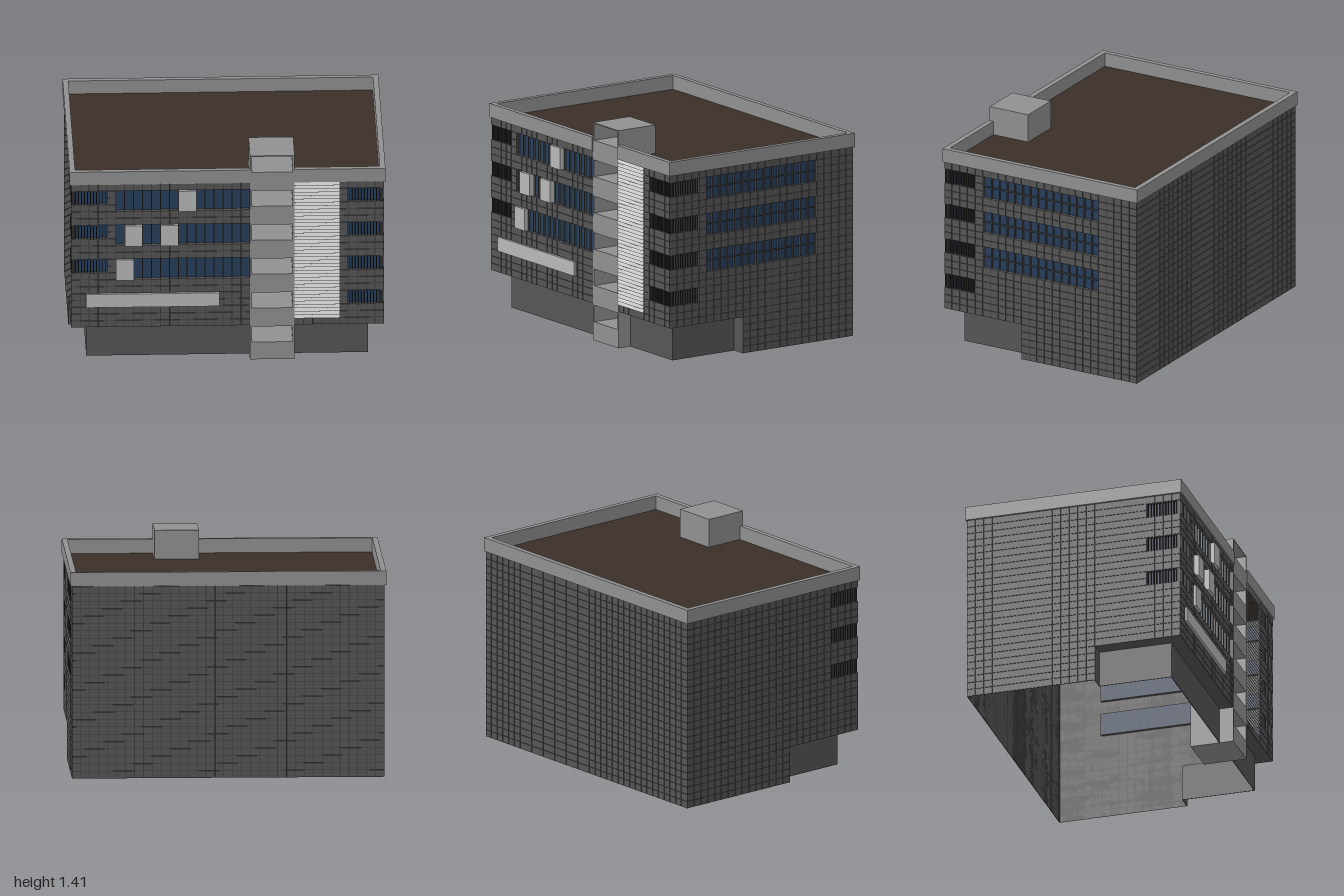
import * as THREE from 'three';
import { mergeGeometries } from 'three/addons/utils/BufferGeometryUtils.js';

const P = 0.0566, R = 1.23 / 26;            // cladding pitch: column and row
const W = 35 * P, D = 25 * P;               // wall lengths
const X = W / 2, ZF = 0.7, ZB = ZF - D;     // building outline
const BASE = 5 * R, TOP = 26 * R;
const CUT = ZF - 10 * P;                    // recessed base ends here
const T0 = -X + 20 * P, T1 = -X + 25 * P;   // stair tower sides
const DEEP = 0.025;                         // window recess

const mat = (color) => new THREE.MeshStandardMaterial({ color, side: THREE.DoubleSide, flatShading: true });
const mats = {
  wall: mat(0x555555), joint: mat(0x3a3a3a), glass: mat(0x263e5a), frame: mat(0x4c4c4c),
  fin: mat(0x2c2c2c), trim: mat(0x909090), panel: mat(0xb8b8b8), louver: mat(0xcccccc), roof: mat(0x3b3028),
};

// Box given by its lower and upper corners
function box(x0, y0, z0, x1, y1, z1) {
  return new THREE.BoxGeometry(x1 - x0, y1 - y0, z1 - z0).translate((x0 + x1) / 2, (y0 + y1) / 2, (z0 + z1) / 2);
}
function plane(x0, y0, x1, y1, z) {
  return new THREE.PlaneGeometry(x1 - x0, y1 - y0).translate((x0 + x1) / 2, (y0 + y1) / 2, z);
}
function add(parent, name, geometries, material) {
  const mesh = new THREE.Mesh(mergeGeometries(geometries), mats[material]);
  mesh.name = name;
  parent.add(mesh);
}

// Wall in its own frame: x along the wall, y up, z outward.
// Openings are { c, r, w, h } in cells; corner = 1 or -1 marks a window turning the corner.
function wall(name, cols, present, openings, crossbar) {
  const g = new THREE.Group();
  g.name = name;
  const tiles = [], joints = [], glass = [], frames = [], fins = [], reveals = [];
  for (let c = 0; c < cols; c++) for (let r = 0; r < 26; r++) {
    if (!present(c, r)) continue;
    if (openings.some((o) => c >= o.c && c < o.c + o.w && r >= o.r && r < o.r + o.h)) continue;
    const x = c * P, y = r * R, m = 0.002;
    tiles.push(box(x + m, y + m, -0.005, x + P - m, y + R - m, 0));
    joints.push(plane(x, y, x + P, y + R, -0.005));
  }
  for (const o of openings) {
    let x0 = o.c * P, x1 = (o.c + o.w) * P;
    const y0 = o.r * R, y1 = (o.r + o.h) * R;
    reveals.push(box(x0, y0 - 0.003, -DEEP, x1, y0, -0.001), box(x0, y1, -DEEP, x1, y1 + 0.003, -0.001));
    if (o.corner !== -1) reveals.push(box(x0 - 0.003, y0, -DEEP, x0, y1, -0.001));
    if (o.corner !== 1) reveals.push(box(x1, y0, -DEEP, x1 + 0.003, y1, -0.001));
    if (o.corner) {
      // close-set upright fins in front of the glass
      const n = o.w * 3;
      for (let i = 0; i < n; i++) {
        const x = x0 + (i + 0.5) * (x1 - x0) / n;
        fins.push(box(x - 0.002, y0, -DEEP, x + 0.002, y1, -0.002));
      }
      if (o.corner === -1) x0 += DEEP; else x1 -= DEEP;
    } else {
      for (let i = 0; i <= o.w; i++) {
        const x = x0 + i * P;
        frames.push(box(x - 0.003, y0, -DEEP, x + 0.003, y1, -0.012));
      }
      if (crossbar) frames.push(box(x0, (y0 + y1) / 2 - 0.003, -DEEP, x1, (y0 + y1) / 2 + 0.003, -0.012));
    }
    glass.push(plane(x0, y0, x1, y1, -DEEP));
  }
  add(g, 'claddingTiles', tiles, 'wall');
  add(g, 'claddingJoints', joints, 'joint');
  if (glass.length) add(g, 'windowGlass', glass, 'glass');
  if (reveals.length) add(g, 'windowReveals', reveals, 'wall');
  if (frames.length) add(g, 'windowMullions', frames, 'frame');
  if (fins.length) add(g, 'windowFins', fins, 'fin');
  return g;
}

export function createModel() {
  const model = new THREE.Group();
  model.name = 'officeBuilding';
  const place = (g, x, z, turn) => {
    g.position.set(x, 0, z);
    g.rotation.y = turn;
    model.add(g);
  };
  const bands = [22, 17, 12];
  const corners = (c, corner, rows) => rows.map((r) => ({ c, r, w: 4, h: 2, corner }));
  const three = [23, 18, 13], four = [...three, 8];

  // Four clad walls
  const frontHas = (c, r) => r >= 5 && !(c >= 20 && c < 25) && !(c >= 25 && c < 30 && r >= 6);
  place(wall('frontWall', 35, frontHas, [
    ...bands.map((r) => ({ c: 5, r, w: 15, h: 3 })), ...corners(0, -1, three), ...corners(31, 1, four),
  ], false), -X, ZF, 0);
  place(wall('leftSideWall', 25, (c, r) => r >= 5 || c >= 10, [
    ...bands.map((r) => ({ c: 5, r, w: 15, h: 3 })), ...corners(0, -1, four),
  ], true), X, ZF, Math.PI / 2);
  place(wall('rightSideWall', 25, (c, r) => r >= 5 || c < 15, corners(21, 1, three), false), -X, ZB, -Math.PI / 2);
  place(wall('backWall', 35, () => true, [], false), X, ZB, Math.PI);

  // Recessed ground floor and the soffit above it
  const bx = 0.89, bz = 0.61, t = 0.004;
  const base = [box(-bx, 0, bz - t, T0, BASE, bz), box(T1, 0, bz - t, bx, BASE, bz)];
  const soffit = [box(-X, BASE, bz, T0, BASE + t, ZF - t), box(T1, BASE, bz, X, BASE + t, ZF - t)];
  for (const s of [-1, 1]) {
    const [a, b] = [s * bx, s * X].sort((p, q) => p - q);
    base.push(box(s * bx - t / 2, 0, CUT, s * bx + t / 2, BASE, bz), box(a, 0, CUT - t, b, BASE, CUT));
    soffit.push(box(a, BASE, CUT, b, BASE + t, bz));
  }
  add(model, 'groundFloorWalls', base, 'wall');
  add(model, 'soffit', soffit, 'wall');

  // Stair tower: side and back walls, with solid bands between deep openings
  const H = 1.415, zt = ZF - 5 * P, e = 0.012;
  const tower = [box(T0, 0, zt, T0 + e, H, ZF), box(T1 - e, 0, zt, T1, H, ZF), box(T0 + e, 0, zt, T1 - e, H, zt + e)];
  let y = 0;
  for (let i = 0; i < 6; i++) {
    const low = 0.12 + i * 0.236;
    tower.push(box(T0 + e, y, zt + e, T1 - e, low, ZF));
    y = low + 0.108;
  }
  tower.push(box(T0 + e, y, zt + e, T1 - e, H, ZF));
  add(model, 'stairTower', tower, 'trim');

  // Louvre screen beside the tower
  const slats = [];
  for (let i = 0; i < 40; i++) {
    const s = new THREE.BoxGeometry(5 * P, R / 2, 0.003);
    s.rotateX(-0.45).translate((T1 + T1 + 5 * P) / 2, 6 * R + (i + 0.5) * R / 2, ZF + 0.004);
    slats.push(s);
  }
  add(model, 'louvres', slats, 'louver');

  // Light panels set over the front windows, and the long fascia board
  const boards = [[12, 22], [6, 17], [10, 17], [5, 12]].map(([c, r]) =>
    box(-X + c * P, r * R, ZF - DEEP, -X + (c + 2) * P, (r + 3) * R, ZF + 0.017));
  add(model, 'frontPanels', boards, 'panel');
  add(model, 'fasciaBoard', [box(-0.895, 0.38, ZF, -0.05, 0.472, ZF + 0.015)], 'panel');

  // Parapet, broken where the tower passes through, and the flat roof
  const px = 1, pf = 0.708, pb = -0.722, ph = 1.32, w = 0.035;
  add(model, 'parapet', [
    box(-px, TOP, pb, px, ph, pb + w),
    box(-px, TOP, pb + w, -px + w, ph, pf), box(px - w, TOP, pb + w, px, ph, pf),
    box(-px + w, TOP, pf - w, T0, ph, pf), box(T1, TOP, pf - w, px - w, ph, pf),
  ], 'trim');
  add(model, 'roof', [box(-px + w, TOP - 0.004, pb + w, px - w, TOP, pf - w)], 'roof');
  return model;
}
